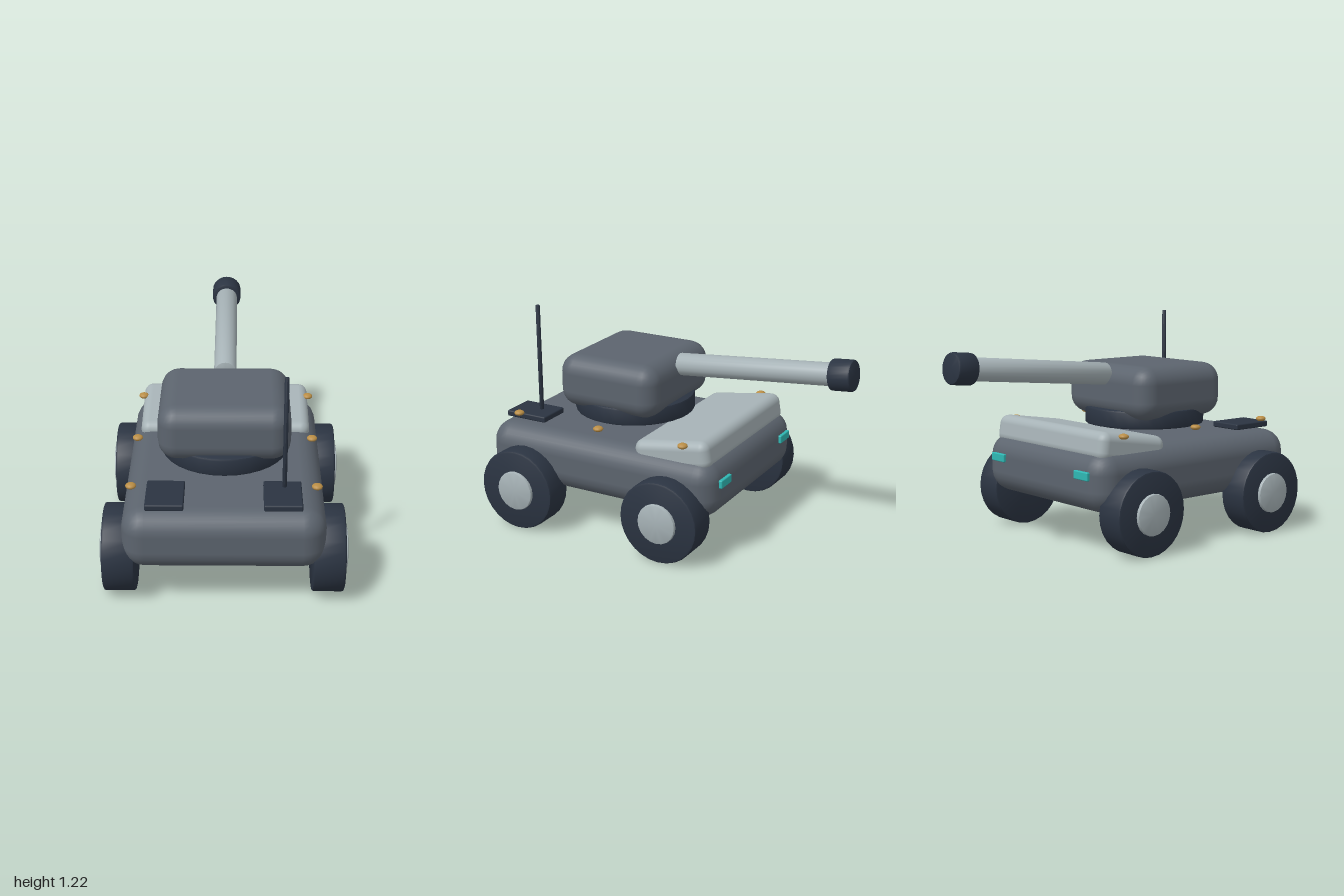
import * as THREE from 'three';
import { toCreasedNormals } from 'three/addons/utils/BufferGeometryUtils.js';
import { RoundedBoxGeometry } from 'three/addons/geometries/RoundedBoxGeometry.js';

const material = (name, color) => {
  const m = new THREE.MeshStandardMaterial({ color });
  m.name = name;
  return m;
};

// Capped cylinder standing on its base, with a small chamfer at both rims
function drum(radius, height, bevel, sides) {
  const profile = [
    [0, 0], [radius - bevel, 0], [radius - bevel * 0.3, bevel * 0.3], [radius, bevel],
    [radius, height - bevel], [radius - bevel * 0.3, height - bevel * 0.3],
    [radius - bevel, height], [0, height],
  ].map(([x, y]) => new THREE.Vector2(x, y));
  return toCreasedNormals(new THREE.LatheGeometry(profile, sides), 0.6);
}

export function createModel() {
  const model = new THREE.Group();
  model.name = 'toyTank';

  const armour = material('armourGrey', 0x5c646e);
  const dark = material('darkSlate', 0x2b3442);
  const pale = material('paleSteel', 0xa6b2b6);
  const brass = material('brass', 0xb98d45);
  const teal = material('tealLight', 0x2fb8b4);

  const add = (name, geometry, mat, x, y, z, parent = model) => {
    const mesh = new THREE.Mesh(geometry, mat);
    mesh.name = name;
    mesh.position.set(x, y, z);
    parent.add(mesh);
    return mesh;
  };

  // Hull and sloped deck plate
  add('hull', new RoundedBoxGeometry(1.04, 0.33, 1.43, 3, 0.12), armour, 0, 0.395, 0.285);
  add('deckPlate', new RoundedBoxGeometry(0.94, 0.16, 0.45, 3, 0.05), pale, 0, 0.555, -0.155)
    .rotation.x = 0.155;

  // Turret on its ring
  add('turretRing', drum(0.34, 0.1, 0.012, 32), dark, 0, 0.61, 0.33);
  add('turret', new RoundedBoxGeometry(0.69, 0.3, 0.62, 3, 0.1), armour, 0, 0.81, 0.33);

  // Gun, raised slightly and pointing to -z
  const gun = new THREE.Group();
  gun.name = 'gun';
  gun.position.set(0, 0.906, 0.035);
  gun.rotation.x = -Math.PI / 2 + 0.093;
  model.add(gun);
  add('barrel', drum(0.062, 0.95, 0.004, 20), pale, 0, 0, 0, gun);
  add('muzzle', drum(0.084, 0.125, 0.01, 24), dark, 0, 0.903, 0, gun);

  // Aerial
  add('aerial', drum(0.012, 0.61, 0.004, 10), dark, 0.307, 0.61, 0.767);

  const tyreGeometry = drum(0.23, 0.167, 0.012, 28);
  const hubGeometry = drum(0.112, 0.03, 0.008, 20);
  const rivetGeometry = new THREE.SphereGeometry(0.028, 14, 10).scale(1, 0.55, 1);
  const hatchGeometry = new RoundedBoxGeometry(0.195, 0.034, 0.255, 2, 0.008);
  const lampGeometry = new RoundedBoxGeometry(0.115, 0.046, 0.022, 2, 0.006);

  for (const side of [-1, 1]) {
    // Wheels with pale hubs
    for (const z of [0.74, -0.165]) {
      const wheel = new THREE.Group();
      wheel.name = 'wheel';
      wheel.position.set(side * 0.455, 0.233, z);
      wheel.rotation.z = -side * Math.PI / 2;
      model.add(wheel);
      add('tyre', tyreGeometry, dark, 0, 0, 0, wheel);
      add('hub', hubGeometry, pale, 0, 0.155, 0, wheel);
    }
    // Rivets along the deck edges
    for (const z of [-0.235, 0.285, 0.805]) {
      add('rivet', rivetGeometry, brass, side * 0.47, 0.633, z);
    }
    // Engine hatches and lamps
    add('engineHatch', hatchGeometry, dark, side * 0.298, 0.583, 0.817);
    add('lamp', lampGeometry, teal, side * 0.367, 0.436, -0.434);
  }
  return model;
}
